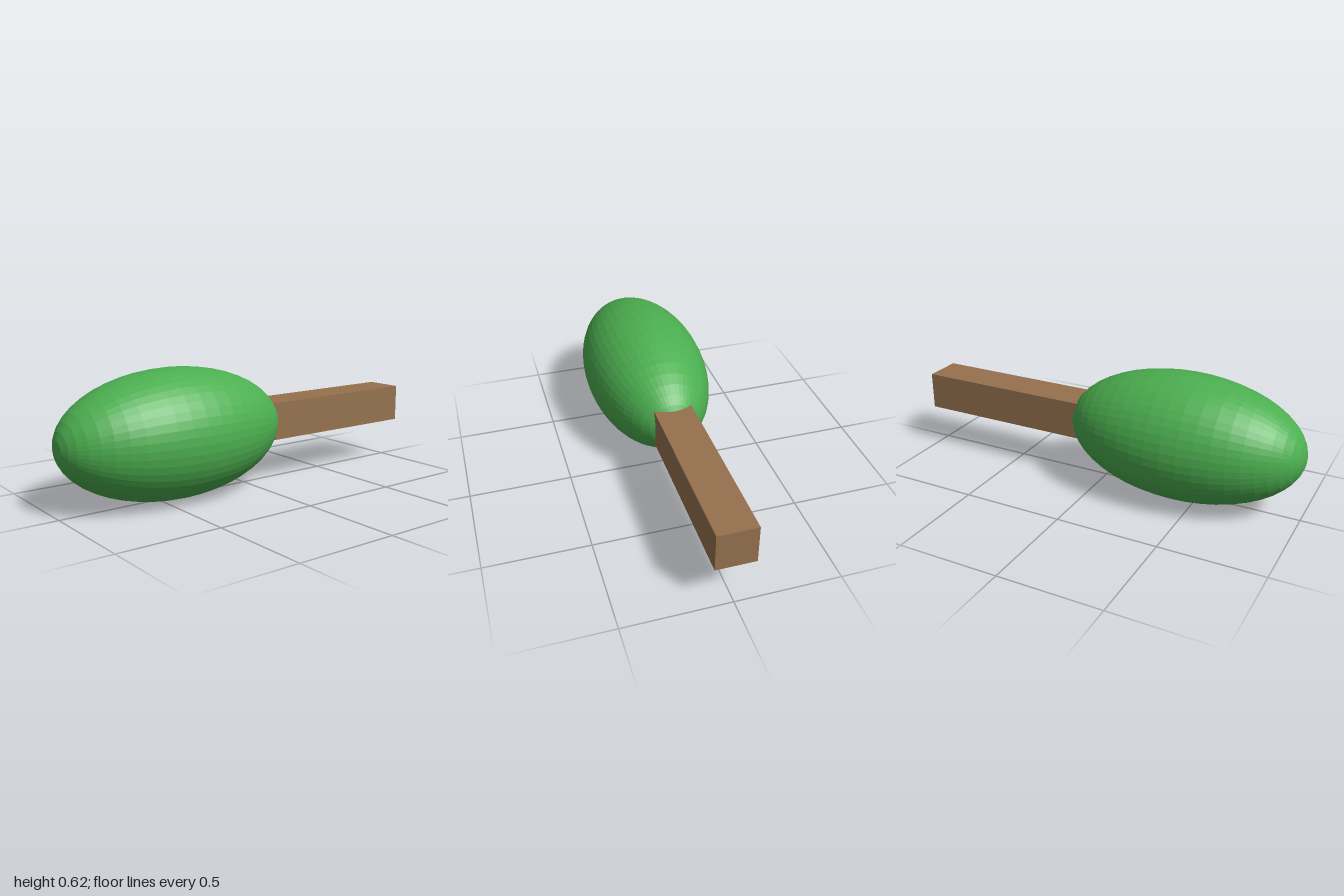
import * as THREE from 'three';

const RADIUS = 0.308; // head radius, also the height of the axis
const HALF_LENGTH = 0.585; // half the head's length along z
const STICK = 0.187; // side of the square stick

function part(name, geometry, color, z) {
  const material = new THREE.MeshStandardMaterial({ color, flatShading: true });
  const mesh = new THREE.Mesh(geometry, material);
  mesh.name = name;
  mesh.position.set(0, RADIUS, z);
  return mesh;
}

export function createModel() {
  const group = new THREE.Group();
  group.name = 'headOnStick';

  // Faceted ellipsoid head with its poles along z
  const head = new THREE.SphereGeometry(1, 48, 24);
  head.rotateX(Math.PI / 2);
  head.scale(RADIUS, RADIUS, HALF_LENGTH);
  group.add(part('head', head, 0x4caf50, 1 - HALF_LENGTH));

  // Square stick running from inside the head to the back
  const front = 0.1;
  const stick = new THREE.BoxGeometry(STICK, STICK, front + 1);
  group.add(part('stick', stick, 0x96724e, (front - 1) / 2));

  return group;
}
